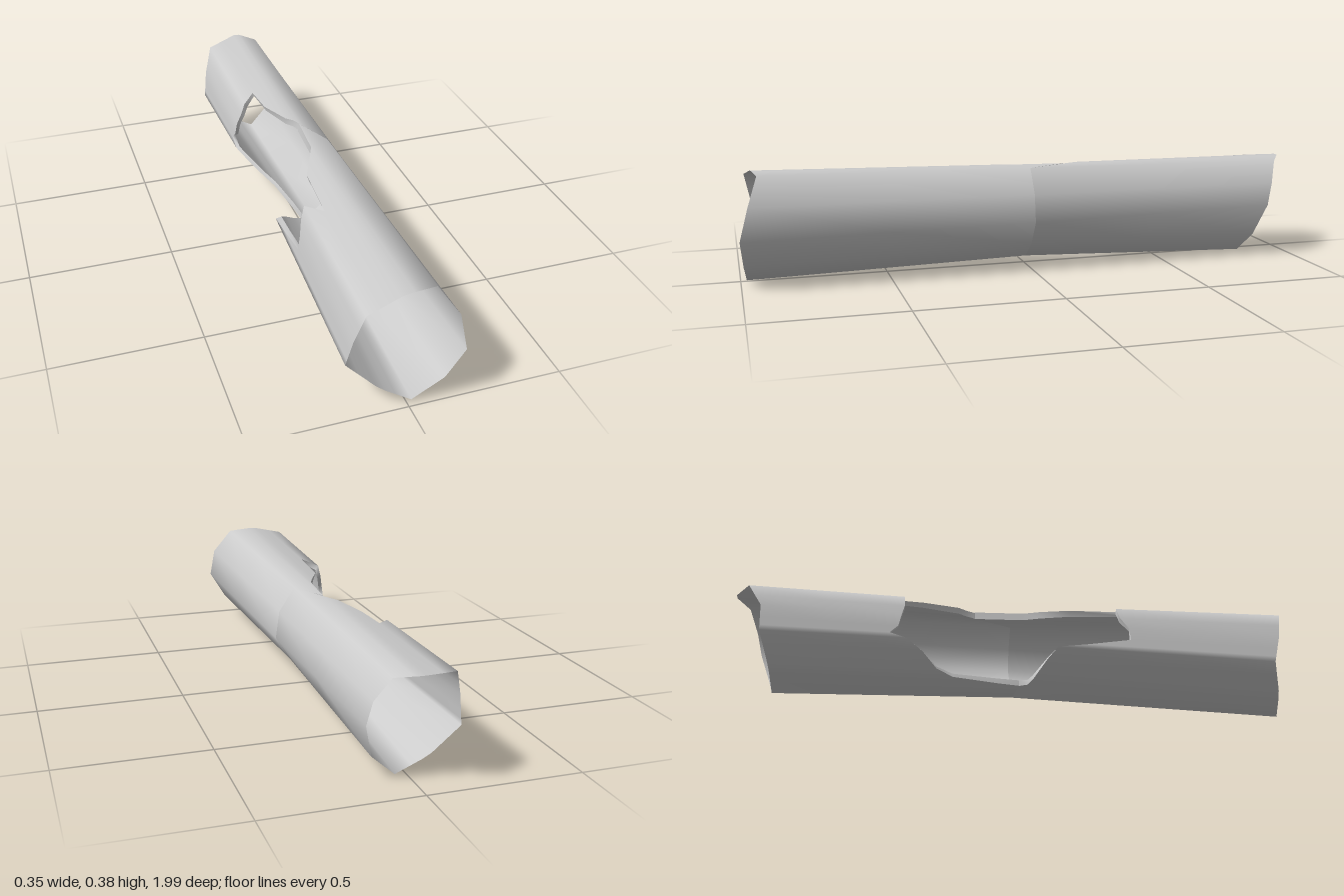
import * as THREE from 'three';

// Irregular ten-sided rings, clockwise from the upper left as seen from the front
const front = [[-0.135, 0.348, 0.97], [-0.01, 0.38, 0.95], [0.095, 0.375, 0.935], [0.16, 0.283, 0.97], [0.173, 0.174, 1],
  [0.115, 0.075, 0.99], [0.015, 0.007, 0.98], [-0.08, 0.058, 0.96], [-0.175, 0.14, 0.92], [-0.162, 0.25, 0.95]];
const middle = [[-0.108, 0.333, 0], [0, 0.362, 0], [0.087, 0.36, 0], [0.143, 0.275, 0], [0.157, 0.178, 0],
  [0.105, 0.095, 0], [0.027, 0.03, 0], [-0.065, 0.085, 0], [-0.145, 0.162, 0], [-0.133, 0.25, 0]];
const back = [[-0.11, 0.34, -0.94], [0.02, 0.36, -1], [0.09, 0.345, -0.95], [0.135, 0.27, -0.92], [0.148, 0.19, -0.9],
  [0.115, 0.075, -0.86], [0.033, 0, -0.84], [-0.07, 0.05, -0.85], [-0.155, 0.15, -0.885], [-0.145, 0.25, -0.89]];

// Broken opening: ring position, back edge z, front edge z
const hole = [[6.5, 0.02, 0.02], [6.58, -0.06, 0.05], [6.8, -0.22, 0.065], [7.1, -0.28, 0.08], [7.6, -0.33, 0.11],
  [8, -0.39, 0.14], [8.2, -0.45, 0.25], [8.5, -0.42, 0.4], [9, -0.41, 0.4], [9.5, -0.4, 0.37], [10, -0.4, 0.36],
  [10.42, -0.46, 0.43], [10.52, -0.33, 0.2], [10.9, -0.2, 0.1], [11.15, -0.17, 0.04], [11.3, -0.14, -0.14]];
// The remaining columns are unbroken
const columns = [...hole, ...[12, 13, 14, 15, 16].map(u => [u, 0, 0])];

function onRing(ring, u) {
  const i = Math.floor(u);
  const a = new THREE.Vector3(...ring[i % 10]);
  return a.lerp(new THREE.Vector3(...ring[(i + 1) % 10]), u - i);
}

// Point on the wall; the inner skin thickens from the ends to the middle
function wall(u, z, end, inner) {
  const m = onRing(middle, u);
  if (inner) m.set(m.x * 0.83, 0.19 + (m.y - 0.19) * 0.83, 0);
  const e = onRing(end, u);
  const p = m.clone().lerp(e, Math.max(0, z / e.z));
  p.z = z;
  return p;
}

// Surface through rows of points
function skin(rows, closed, flip) {
  const n = rows[0].length, index = [];
  for (let r = 0; r < rows.length - 1; r++) {
    for (let i = 0; i < (closed ? n : n - 1); i++) {
      const a = r * n + i, b = r * n + (i + 1) % n, c = a + n, d = b + n;
      index.push(...(flip ? [a, b, c, b, d, c] : [a, c, b, b, c, d]));
    }
  }
  const g = new THREE.BufferGeometry().setFromPoints(rows.flat());
  g.setIndex(index);
  g.computeVertexNormals();
  return g;
}

export function createModel() {
  const group = new THREE.Group();
  group.name = 'hollowLog';
  const material = new THREE.MeshStandardMaterial({ color: 0xcccccc, side: THREE.DoubleSide });
  const add = (geometry, name) => {
    const mesh = new THREE.Mesh(geometry, material);
    mesh.name = name;
    group.add(mesh);
  };

  for (const [label, end, k] of [['back', back, 1], ['front', front, 2]]) {
    // Bark and hollow of each half, from the opening to the log's end
    for (const inner of [false, true]) {
      const rows = [0, 0.5, 1].map(t => columns.map(c =>
        wall(c[0], THREE.MathUtils.lerp(c[k], onRing(end, c[0]).z, t), end, inner)));
      if (k === 1) rows.reverse();
      add(skin(rows, true, inner), label + (inner ? 'Hollow' : 'Bark'));
    }
    // Broken edge around the opening
    const edge = inner => hole.map(c => wall(c[0], c[k], end, inner));
    add(skin([edge(false), edge(true)], false, k === 1), label + 'BrokenEdge');
  }
  return group;
}
